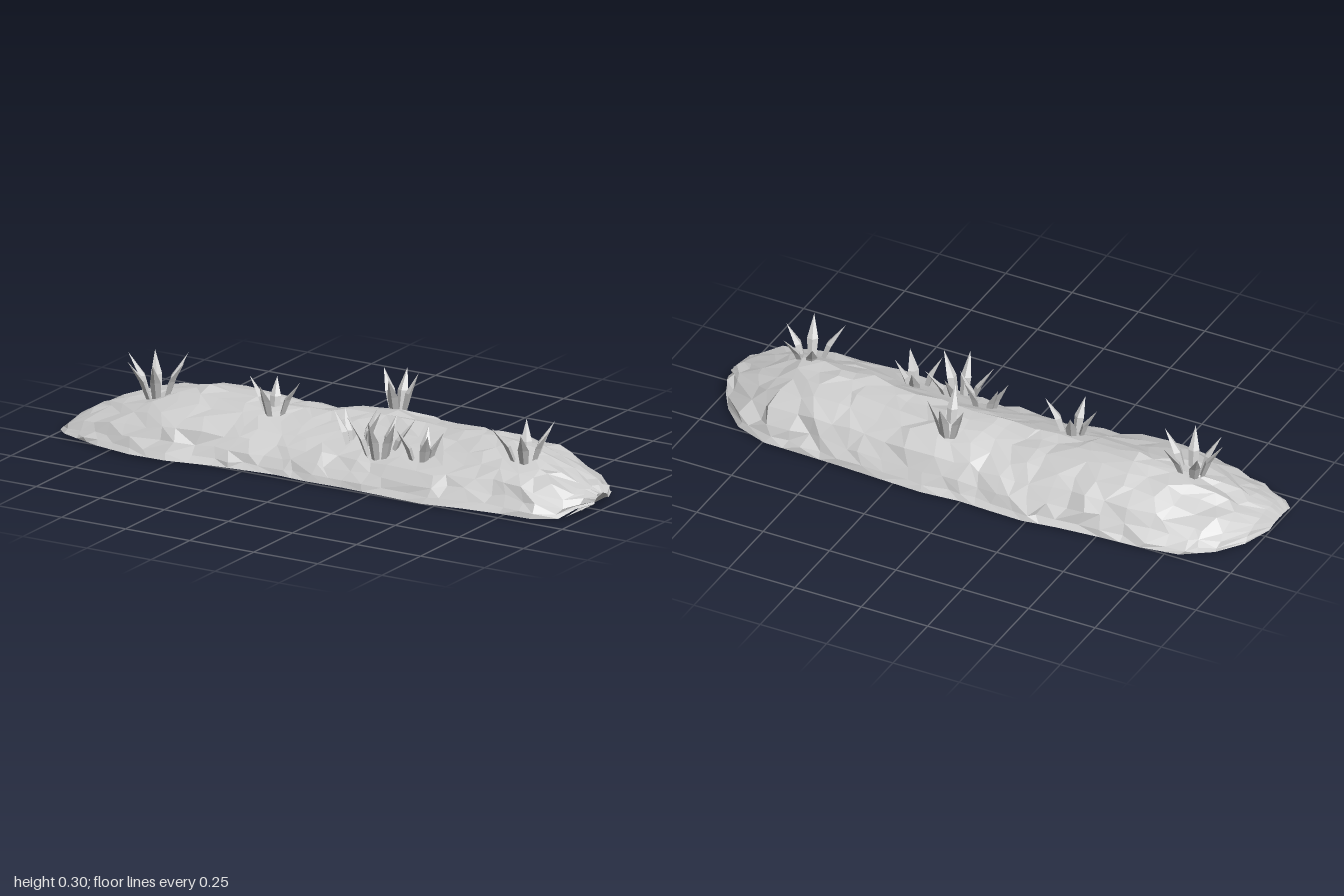
import * as THREE from 'three';

const material = new THREE.MeshStandardMaterial({ color: 0xcccccc, flatShading: true, side: THREE.DoubleSide });

function seeded(seed) {
  return () => {
    seed = (seed * 16807) % 2147483647;
    return seed / 2147483647 - 0.5;
  };
}

// Mound sections along x: [x, back z, crest z, front z, crest height, hollow of the front slope]
const stations = [
  [-1.0, 0.03, 0.1, 0.18, 0.015, 0], [-0.965, -0.08, 0.08, 0.215, 0.05, 0], [-0.9, -0.17, 0.05, 0.24, 0.085, 0],
  [-0.8, -0.24, 0.03, 0.275, 0.122, 0], [-0.66, -0.262, 0.02, 0.302, 0.162, 0.08], [-0.52, -0.27, 0.0, 0.3, 0.188, 0.15],
  [-0.36, -0.285, 0.0, 0.268, 0.18, 0.14], [-0.24, -0.303, 0.0, 0.255, 0.17, 0.12], [-0.12, -0.3, -0.01, 0.245, 0.165, 0.18],
  [0.0, -0.295, -0.02, 0.255, 0.188, 0.28], [0.14, -0.307, -0.03, 0.252, 0.194, 0.3], [0.3, -0.3, -0.02, 0.26, 0.182, 0.28],
  [0.46, -0.292, -0.01, 0.27, 0.19, 0.26], [0.6, -0.288, -0.01, 0.245, 0.194, 0.18], [0.74, -0.285, 0.0, 0.23, 0.174, 0.06],
  [0.86, -0.24, 0.0, 0.225, 0.126, 0], [0.94, -0.16, 0.0, 0.175, 0.094, 0], [0.975, -0.11, 0.01, 0.12, 0.082, 0],
  [1.0, -0.05, 0.0, 0.05, 0.06, 0], [0.95, -0.13, 0.04, 0.16, 0.008, 0],
];
// Half profile from rim to crest: [distance from crest, height], as fractions
const half = [[1, 0], [0.95, 0.12], [0.86, 0.32], [0.74, 0.58], [0.55, 0.79], [0.34, 0.92], [0.16, 0.98]];

function makeMound() {
  const rand = seeded(71);
  const profile = [...half.map(([d, h]) => [-d, h]), [0, 1], ...[...half].reverse()];
  const last = profile.length - 1;
  const rows = [];
  const addRow = ([x, back, crest, front, height, hollow]) => {
    const slack = Math.min(1, height / 0.12) ** 2;
    const rim = x > 0.96 ? 0.032 : 0.007;
    rows.push(profile.map(([d, h], j) => {
      const inner = j > 0 && j < last ? slack : 0;
      const z = crest + (d < 0 ? -d * (back - crest) : d * (front - crest));
      const slope = d > 0 ? 1 - hollow * Math.sin(Math.PI * d) : 1;
      return new THREE.Vector3(
        x + rand() * 0.05 * inner,
        rim + (height - rim) * h * slope + rand() * 0.015 * inner * (h > 0.2 ? 1 : 0.4),
        z + rand() * 0.02 * inner
      );
    }));
  };
  stations.forEach((s, i) => {
    addRow(s);
    const next = stations[i + 1];
    if (next && next[0] - s[0] > 0.09) addRow(s.map((v, k) => (v + next[k]) / 2));
  });
  // Rim sags to the ground at the undercut end
  rows[rows.length - 1][7].y = 0;

  const pos = [];
  const tri = (...points) => points.forEach((p) => pos.push(p.x, p.y, p.z));
  for (let i = 0; i < rows.length - 1; i++) {
    for (let j = 0; j < last; j++) {
      const a = rows[i][j], b = rows[i + 1][j], c = rows[i][j + 1], d = rows[i + 1][j + 1];
      if (rand() > 0) { tri(a, c, b); tri(b, c, d); }
      else { tri(a, c, d); tri(a, d, b); }
    }
  }
  const geometry = new THREE.BufferGeometry();
  geometry.setAttribute('position', new THREE.Float32BufferAttribute(pos, 3));
  geometry.computeVertexNormals();
  const mound = new THREE.Mesh(geometry, material);
  mound.name = 'mound';
  return mound;
}

// Tufts: centre, root height, tip height and blade tips [x, z]
const tufts = [
  { at: [-0.7, 0.045], root: 0.125, top: 0.278, tips: [[-0.77, -0.05], [-0.64, -0.05], [-0.59, 0.06], [-0.67, 0.13], [-0.775, 0.12], [-0.815, 0.05]] },
  { at: [-0.25, 0.045], root: 0.14, top: 0.27, tips: [[-0.275, -0.02], [-0.15, 0.04], [-0.26, 0.12], [-0.34, 0.05]] },
  { at: [0.115, -0.15], root: 0.155, top: 0.308, tips: [[0.035, -0.195], [0.11, -0.225], [0.175, -0.19], [0.135, -0.06]] },
  { at: [0.115, 0.11], root: 0.085, top: 0.24, tips: [[0.04, 0.065], [0.155, 0.04], [0.025, 0.11], [0.2, 0.095]] },
  { at: [0.215, 0.13], root: 0.08, top: 0.24, tips: [[0.23, 0.04], [0.315, 0.06], [0.225, 0.22], [0.11, 0.17], [0.305, 0.18]] },
  { at: [0.37, 0.115], root: 0.085, top: 0.215, tips: [[0.355, 0.045], [0.445, 0.095], [0.43, 0.175], [0.305, 0.17]] },
  { at: [0.735, 0.045], root: 0.13, top: 0.268, tips: [[0.68, -0.05], [0.79, -0.05], [0.83, 0.05], [0.775, 0.145], [0.645, 0.125]] },
];

// Four-sided blade: narrow root, wide middle, tip leaning out along +x
function makeBlade(height, reach) {
  const geometry = new THREE.CylinderGeometry(0, 1, 1, 4, 2);
  const p = geometry.attributes.position;
  for (let i = 0; i < p.count; i++) {
    const t = p.getY(i) + 0.5;
    const middle = Math.abs(t - 0.5) < 0.1;
    // The cylinder's own taper halves the middle ring
    const width = middle ? 0.038 : 0.014;
    const lean = middle ? 0.33 : t;
    p.setXYZ(i, p.getX(i) * width * 0.6 + lean * reach, t * height, p.getZ(i) * width);
  }
  geometry.computeVertexNormals();
  return new THREE.Mesh(geometry, material);
}

function makeTuft({ at, root, top, tips }, seed) {
  const rand = seeded(seed * 991 + 17);
  const tuft = new THREE.Group();
  tuft.name = 'grassTuft';
  for (const [x, z] of tips) {
    const dx = x - at[0], dz = z - at[1];
    const height = (top - root) * (0.95 + rand() * 0.1);
    const blade = makeBlade(height, Math.hypot(dx, dz) * 0.7);
    blade.name = 'grassBlade';
    blade.position.set(at[0] + dx * 0.3, root, at[1] + dz * 0.3);
    blade.rotation.y = Math.atan2(-dz, dx);
    tuft.add(blade);
  }
  return tuft;
}

export function createModel() {
  const model = new THREE.Group();
  model.name = 'grassyMound';
  model.add(makeMound());
  tufts.forEach((t, i) => model.add(makeTuft(t, i + 1)));
  return model;
}
